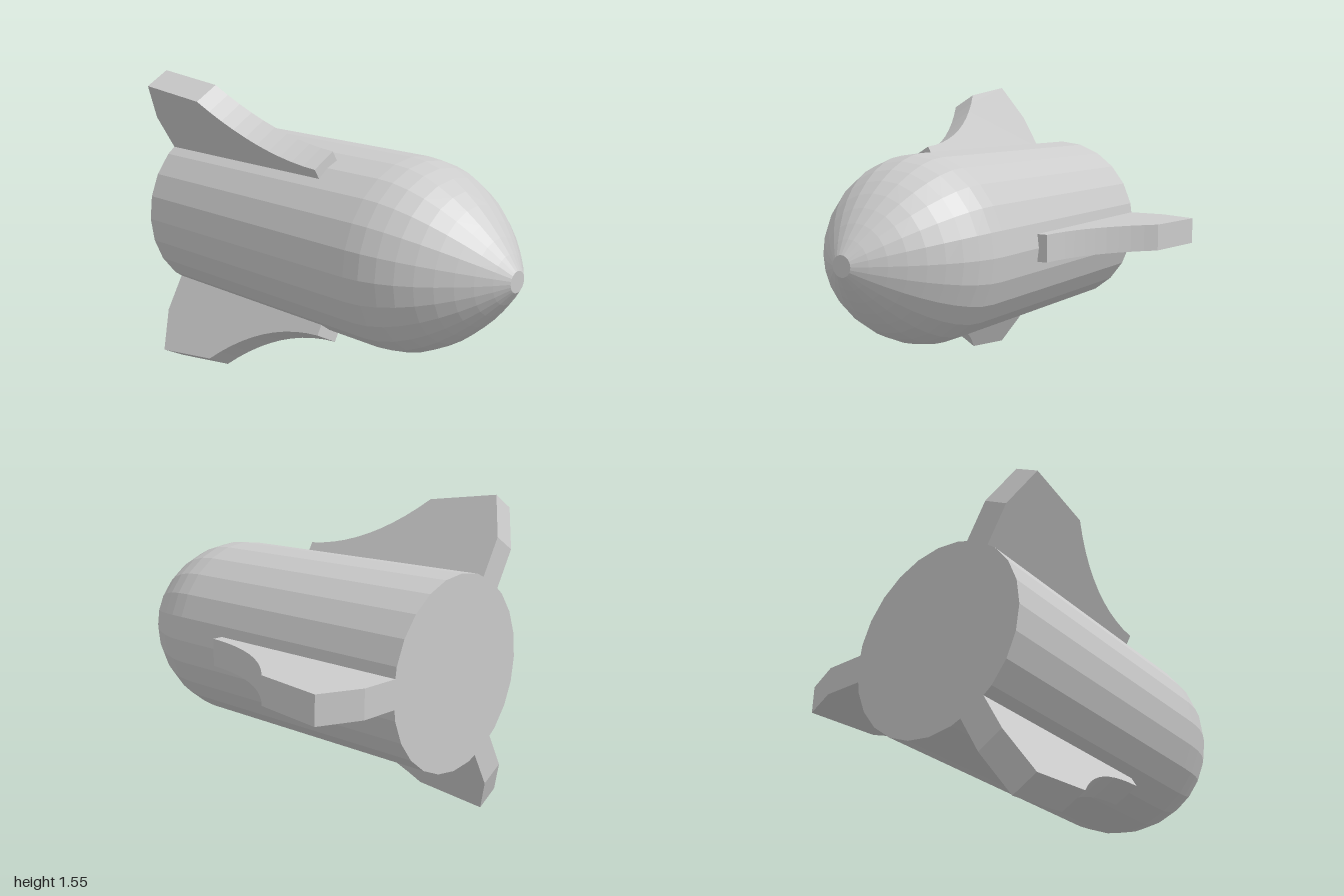
import * as THREE from 'three';

const material = new THREE.MeshStandardMaterial({ color: 0xcccccc, flatShading: true });
const RADIUS = 0.462;
const FIN_THICKNESS = 0.136;

// Capped cylinder running into a curved nose with a small flat tip
function createHull() {
  const nose = new THREE.CubicBezierCurve(
    new THREE.Vector2(RADIUS, 0.4),
    new THREE.Vector2(RADIUS, 0.65),
    new THREE.Vector2(0.24, 0.87),
    new THREE.Vector2(0.05, 1)
  );
  const profile = [
    new THREE.Vector2(0, -1),
    new THREE.Vector2(RADIUS, -1),
    ...nose.getPoints(9),
    new THREE.Vector2(0, 1),
  ];
  const hull = new THREE.Mesh(new THREE.LatheGeometry(profile, 24).rotateX(Math.PI / 2), material);
  hull.name = 'hull';
  return hull;
}

// Fin outline: x is the distance from the hull axis, y runs along the hull
function createFinGeometry() {
  const outline = new THREE.Shape();
  outline.moveTo(0.45, -1);
  outline.lineTo(0.65, -1);
  outline.lineTo(0.857, -0.915);
  outline.lineTo(0.807, -0.56);
  outline.quadraticCurveTo(0.53, -0.28, 0.507, 0.085); // concave leading edge
  outline.lineTo(0.45, 0.085);
  outline.closePath();
  return new THREE.ExtrudeGeometry(outline, {
    depth: FIN_THICKNESS,
    bevelEnabled: false,
    curveSegments: 10,
  })
    .translate(0, 0, -FIN_THICKNESS / 2)
    .rotateX(Math.PI / 2);
}

export function createModel() {
  const rocket = new THREE.Group();
  rocket.name = 'rocket';
  rocket.add(createHull());

  // Three fins evenly spaced around the hull
  const finGeometry = createFinGeometry();
  ['leftFin', 'upperRightFin', 'lowerRightFin'].forEach((name, i) => {
    const fin = new THREE.Mesh(finGeometry, material);
    fin.name = name;
    fin.rotation.z = (i * Math.PI * 2) / 3;
    rocket.add(fin);
  });

  rocket.position.set(-0.187, 0.776, 0);
  const model = new THREE.Group();
  model.name = 'model';
  model.add(rocket);
  return model;
}
